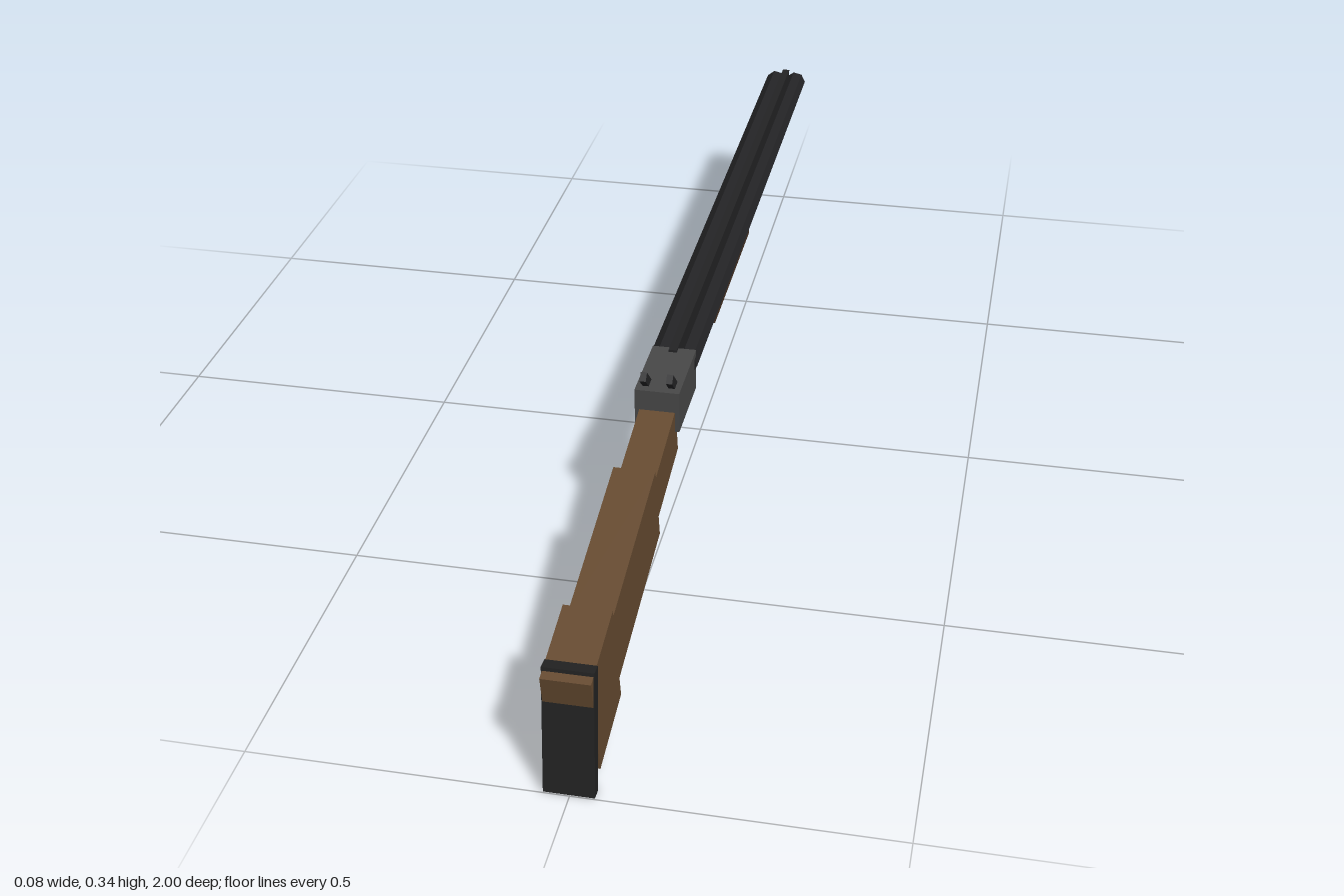
import * as THREE from 'three';

const CX = -0.001; // centre line of the paired parts

const mat = (color) => new THREE.MeshStandardMaterial({ color, flatShading: true });

export function createModel() {
  const group = new THREE.Group();
  const steel = mat(0x232325);
  const receiverSteel = mat(0x484848);
  const wood = mat(0x664b31);
  const darkWood = mat(0x463224);
  const rubber = mat(0x222222);

  const add = (name, geometry, material, x, y, z, tilt = 0) => {
    const mesh = new THREE.Mesh(geometry, material);
    mesh.name = name;
    mesh.position.set(x, y, z);
    mesh.rotation.x = THREE.MathUtils.degToRad(tilt);
    group.add(mesh);
    return mesh;
  };
  const box = (name, material, [w, h, d], y, z, tilt = 0, x = CX) =>
    add(name, new THREE.BoxGeometry(w, h, d), material, x, y, z, tilt);

  // Side-by-side seven-sided barrels and the sighting rib between them
  const barrel = new THREE.CylinderGeometry(0.021, 0.021, 1.242, 7);
  barrel.rotateX(Math.PI / 2).rotateZ(Math.PI / 2);
  for (const s of [-1, 1]) {
    add(s > 0 ? 'leftBarrel' : 'rightBarrel', barrel, steel, CX + s * 0.0215, 0.2875, -0.379);
  }
  box('barrelRib', steel, [0.014, 0.014, 1.242], 0.306, -0.379);

  // Wooden fore-end under the barrels
  box('foreEnd', darkWood, [0.055, 0.045, 0.364], 0.2545, -0.183);

  // Receiver block
  box('receiver', receiverSteel, [0.075, 0.074, 0.145], 0.272, 0.2995);

  // Tilted hammers
  for (const s of [-1, 1]) {
    box(s > 0 ? 'leftHammer' : 'rightHammer', steel, [0.0105, 0.016, 0.045],
      0.32, 0.357, -45, CX + s * 0.022);
  }

  // Trigger guard: thin half ring below the receiver
  const guard = new THREE.TorusGeometry(0.046, 0.004, 6, 14, Math.PI);
  guard.rotateZ(Math.PI).rotateY(Math.PI / 2);
  add('triggerGuard', guard, steel, CX, 0.237, 0.323);

  // Stock in three steps, sloping down to the rear
  box('stockGrip', wood, [0.06, 0.088, 0.2], 0.211, 0.455, 11);
  box('stockBody', wood, [0.068, 0.141, 0.316], 0.17, 0.6845, 11);
  box('stockButt', wood, [0.075, 0.191, 0.14], 0.1275, 0.9065, 11);

  // Recoil pad leaning forward at the top
  box('buttPad', rubber, [0.078, 0.216, 0.02], 0.1085, 0.979, -5.8);

  return group;
}
